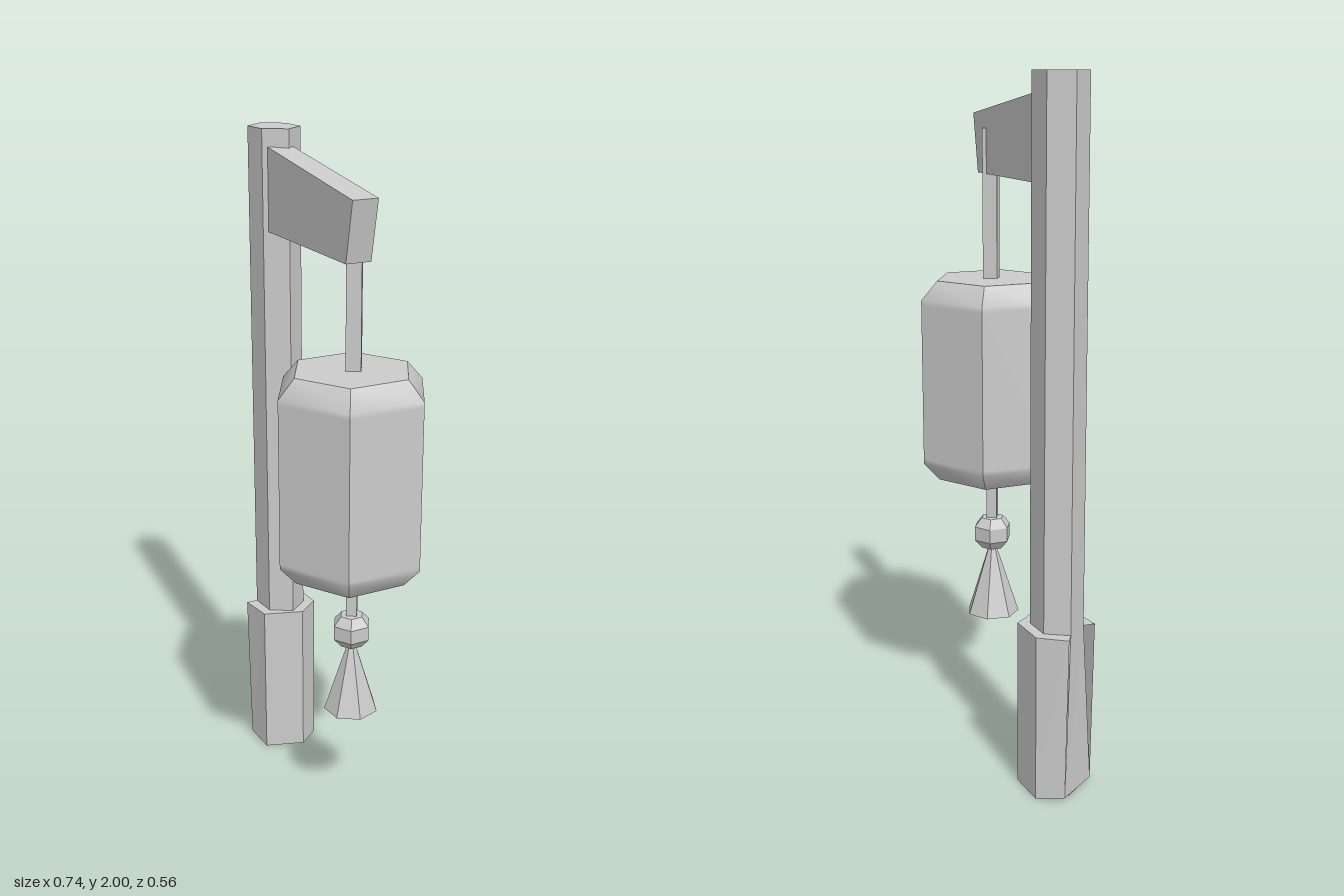
import * as THREE from 'three';
import { toCreasedNormals } from 'three/addons/utils/BufferGeometryUtils.js';

const flat = new THREE.MeshStandardMaterial({ color: 0xcccccc, flatShading: true });
const thin = new THREE.MeshStandardMaterial({ color: 0xcccccc, flatShading: true, side: THREE.DoubleSide });
const smoothThin = new THREE.MeshStandardMaterial({ color: 0xcccccc, side: THREE.DoubleSide });

// Hexagonal footprints, [x, z], clockwise from above
const POST = [[-0.285, -0.245], [-0.208, -0.205], [-0.198, -0.13], [-0.265, -0.093], [-0.34, -0.13], [-0.352, -0.21]];
const SLEEVE = [[-0.285, -0.28], [-0.18, -0.225], [-0.169, -0.14], [-0.262, -0.06], [-0.358, -0.1], [-0.37, -0.243]];
const OPEN_SIDE = 4;

const ring = (points, y) => points.map(([x, z]) => new THREE.Vector3(x, y, z));

// Geometry from a list of polygons, each fanned from its first corner
function faces(polygons) {
  const out = [];
  for (const p of polygons)
    for (let i = 1; i < p.length - 1; i++) out.push(p[0], p[i], p[i + 1]);
  const g = new THREE.BufferGeometry().setFromPoints(out);
  g.computeVertexNormals();
  return g;
}

// Quads joining two rings, facing outward when a is the lower one
function band(a, b) {
  return a.map((_, i) => {
    const j = (i + 1) % a.length;
    return [a[j], a[i], b[i], b[j]];
  });
}

export function createModel() {
  const model = new THREE.Group();
  const add = (parent, name, geometry, material = flat) => {
    const mesh = new THREE.Mesh(geometry, material);
    mesh.name = name;
    parent.add(mesh);
    return mesh;
  };

  // Upright post, open underneath
  const postHigh = ring(POST, 2);
  add(model, 'post', faces([...band(ring(POST, 0), postHigh), [...postHigh].reverse()]), thin);

  // Sleeve round the foot, with a rim that joins it to the post
  const low = ring(SLEEVE, 0), high = ring(SLEEVE, 0.49), collar = ring(POST, 0.49);
  for (const i of [4, 5]) {
    low[i].x += 0.01;
    low[i].y = 0.01;
  }
  const walls = band(low, high), rim = band(high, collar);
  // One side has no rim: its wall leans in to meet the post
  walls[OPEN_SIDE] = band(low, collar)[OPEN_SIDE];
  rim.splice(OPEN_SIDE, 1);
  add(model, 'footSleeve', faces([...walls, ...rim]), thin);

  // Tapered arm, extruded from its side profile
  const width = 0.075;
  const profile = new THREE.Shape([[0, 1.71], [0.487, 1.71], [0.523, 1.88], [0, 1.95]]
    .map(([x, y]) => new THREE.Vector2(x, y)));
  const armGeo = new THREE.ExtrudeGeometry(profile, { depth: width, bevelEnabled: false });
  armGeo.translate(0, 0, -width / 2);
  const arm = add(model, 'arm', armGeo);
  arm.position.set(-0.23, 0, -0.13);
  arm.rotation.y = -Math.atan2(0.2725, 0.446);

  // Everything hanging from the arm, on one vertical axis
  const hanging = new THREE.Group();
  hanging.name = 'hangingLantern';
  hanging.position.set(0.146, 0, 0.078);
  model.add(hanging);

  // Six-sided turned shape with corners on the x axis
  const turned = (points) => {
    const g = new THREE.LatheGeometry(points.map(([r, y]) => new THREE.Vector2(r, y)), 6);
    return g.rotateY(Math.PI / 6);
  };

  // Square cords above and below the lantern; the upper one runs up into the arm
  const cord = (name, radius, bottom, top) => {
    const mesh = add(hanging, name, new THREE.CylinderGeometry(radius, radius, top - bottom, 4));
    mesh.position.y = (bottom + top) / 2;
    mesh.rotation.y = -0.3;
  };
  cord('upperCord', 0.03, 1.38, 1.84);
  cord('lowerCord', 0.022, 0.63, 0.9);

  // Lantern body with softly shaded chamfers, open at the bottom
  const bodyGeo = turned([[0.176, 0.8], [0.226, 0.855], [0.226, 0.87], [0.226, 1.335],
    [0.226, 1.35], [0.176, 1.405], [0, 1.405]]);
  const body = add(hanging, 'lanternBody', toCreasedNormals(bodyGeo, THREE.MathUtils.degToRad(43)), smoothThin);
  body.position.set(-0.003, 0, 0.004);

  // Bead
  add(hanging, 'bead', turned(
    [[0, 0.56], [0.035, 0.563], [0.058, 0.59], [0.058, 0.633], [0.035, 0.66], [0, 0.663]]));

  // Tassel
  const tassel = add(hanging, 'tassel', new THREE.CylinderGeometry(0.01, 0.081, 0.22, 7));
  tassel.position.y = 0.46;

  return model;
}
